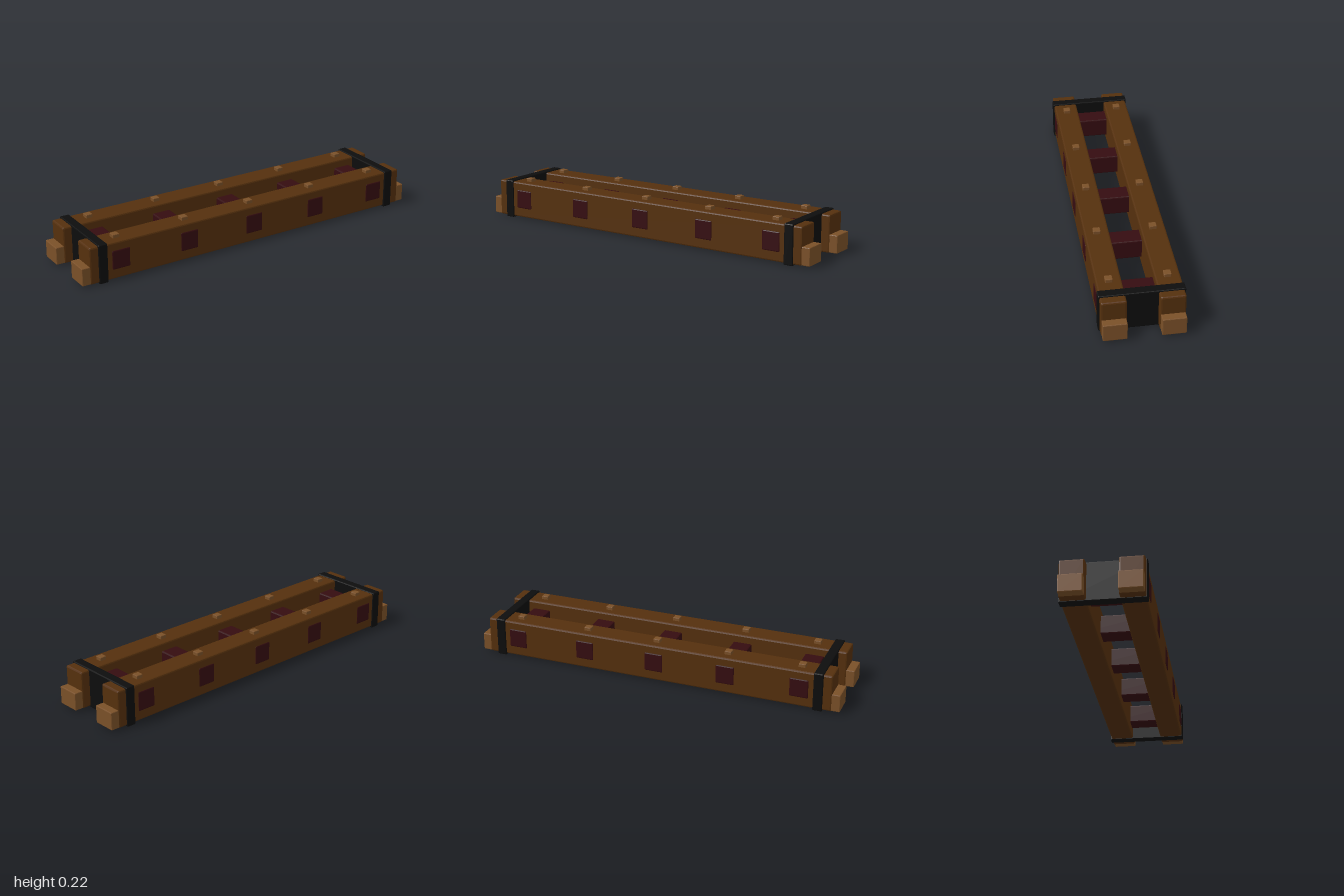
import * as THREE from 'three';
import { RoundedBoxGeometry } from 'three/addons/geometries/RoundedBoxGeometry.js';

const makeMaterial = (name, color) => {
  const m = new THREE.MeshStandardMaterial({ color });
  m.name = name;
  return m;
};

export function createModel() {
  const group = new THREE.Group();
  const wood = makeMaterial('brown wood', 0x55300d);
  const paleWood = makeMaterial('pale wood', 0x7a5028);
  const redWood = makeMaterial('dark red wood', 0x350c10);
  const iron = makeMaterial('black iron', 0x0d0d0d);

  // Box with chamfered edges, given by its limits on each axis
  const block = (name, material, [x0, x1], [y0, y1], [z0, z1], bevel) => {
    const geometry = new RoundedBoxGeometry(x1 - x0, y1 - y0, z1 - z0, 1, bevel);
    geometry.computeVertexNormals();
    const mesh = new THREE.Mesh(geometry, material);
    mesh.name = name;
    mesh.position.set((x0 + x1) / 2, (y0 + y1) / 2, (z0 + z1) / 2);
    group.add(mesh);
  };
  const around = (c, half) => [c - half, c + half];
  const rungXs = [-0.785, -0.3925, 0, 0.3925, 0.785];

  for (const side of [-1, 1]) {
    const z = side * 0.1435;
    // Long side beam
    block('sideBeam', wood, [-0.957, 0.957], [0.007, 0.203], around(z, 0.063), 0.008);
    // Stub tenons at both ends, in the lower half
    for (const end of [-1, 1])
      block('tenon', paleWood, around(end * 0.96, 0.04), [0.009, 0.103], around(z, 0.06), 0.004);
    // Pegs through the top of the beam
    for (const x of rungXs)
      block('peg', paleWood, around(x, 0.0185), [0.17, 0.221], around(z, 0.0185), 0.003);
  }

  // Cross rungs, just proud of the beams
  for (const x of rungXs)
    block('crossRung', redWood, around(x, 0.05), [0.057, 0.16], [-0.21, 0.21], 0.006);

  // Iron plates binding the beams near each end
  for (const end of [-1, 1])
    block('ironBand', iron, around(end * 0.885, 0.025), [0, 0.209], [-0.213, 0.213], 0.005);

  return group;
}
